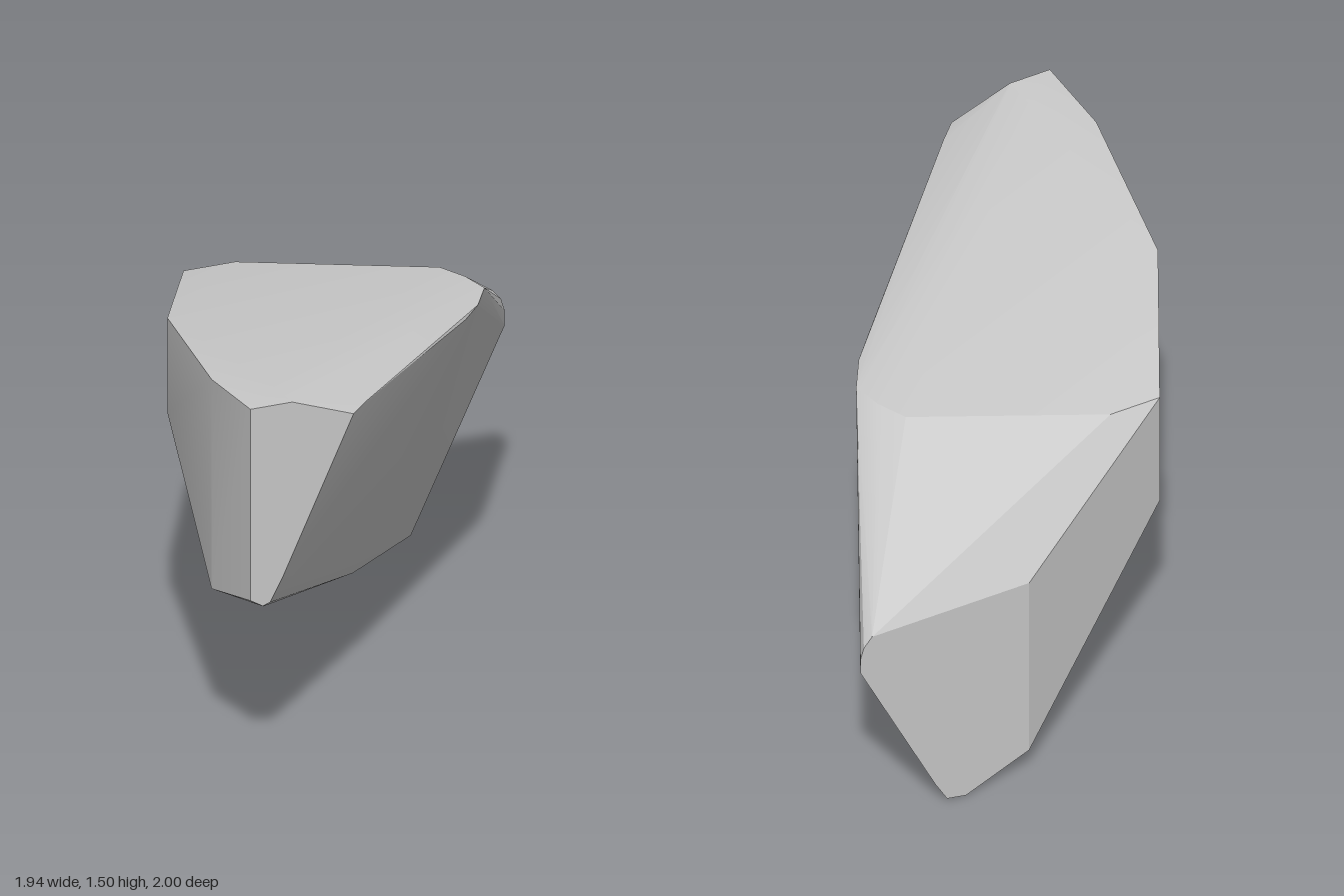
import * as THREE from 'three';
import { ConvexGeometry } from 'three/addons/geometries/ConvexGeometry.js';
import { toCreasedNormals } from 'three/addons/utils/BufferGeometryUtils.js';

export function createModel() {
  const group = new THREE.Group();
  group.name = 'rock';
  const stone = new THREE.MeshStandardMaterial({ color: 0xcacaca });
  stone.name = 'stone grey';

  // corners of the flat front end
  const frontEnd = [
    [-0.97, 1.5, 1], [-0.8, 1.5, 1], [-0.55, 1.41, 1],
    [-0.84, 0.8, 1], [-0.89, 0.71, 1], [-0.92, 0.7, 1], [-0.97, 0.73, 1],
  ];
  // corners of the flat back end
  const backEnd = [
    [0.25, 0.89, -1], [0.92, 0.89, -1], [0.955, 0.85, -1], [0.97, 0.8, -1], [0.97, 0.74, -1],
    [0.65, 0.1, -1], [0.6, 0.015, -1], [0.52, 0, -1], [0.25, 0.11, -1],
  ];
  // upper rim, with the worn corner on the left
  const topRim = [
    [-0.8, 1.5, 0.84], [-0.97, 1.487, 0.65], [-0.82, 1.43, -0.08],
    [-0.46, 1.31, -0.73], [-0.25, 1.31, -0.73], [0.42, 1.31, -0.37],
    [0.47, 1.31, -0.25], [0.49, 1.31, -0.12], [0.4, 1.31, 0.02],
    [0.3, 1.31, 0.13], [-0.47, 1.41, 0.92],
  ];
  // lower rim, with the worn edge under the long face
  const bottomRim = [
    [-0.9, 0.68, 0.96], [-0.97, 0.645, 0.65], [-0.8, 0.53, 0.39], [-0.65, 0.52, -0.17],
    [-0.82, 1.05, -0.08], [-0.46, 0.83, -0.73],
    [-0.17, 0.41, 0.14], [-0.27, 0.37, 0.15], [-0.1, 0.31, 0], [0.52, 0.03, -0.85],
  ];

  const corners = [...frontEnd, ...backEnd, ...topRim, ...bottomRim]
    .map((p) => new THREE.Vector3(...p));
  const body = new THREE.Mesh(toCreasedNormals(new ConvexGeometry(corners), 0.28), stone);
  body.name = 'boulder';
  group.add(body);
  return group;
}
